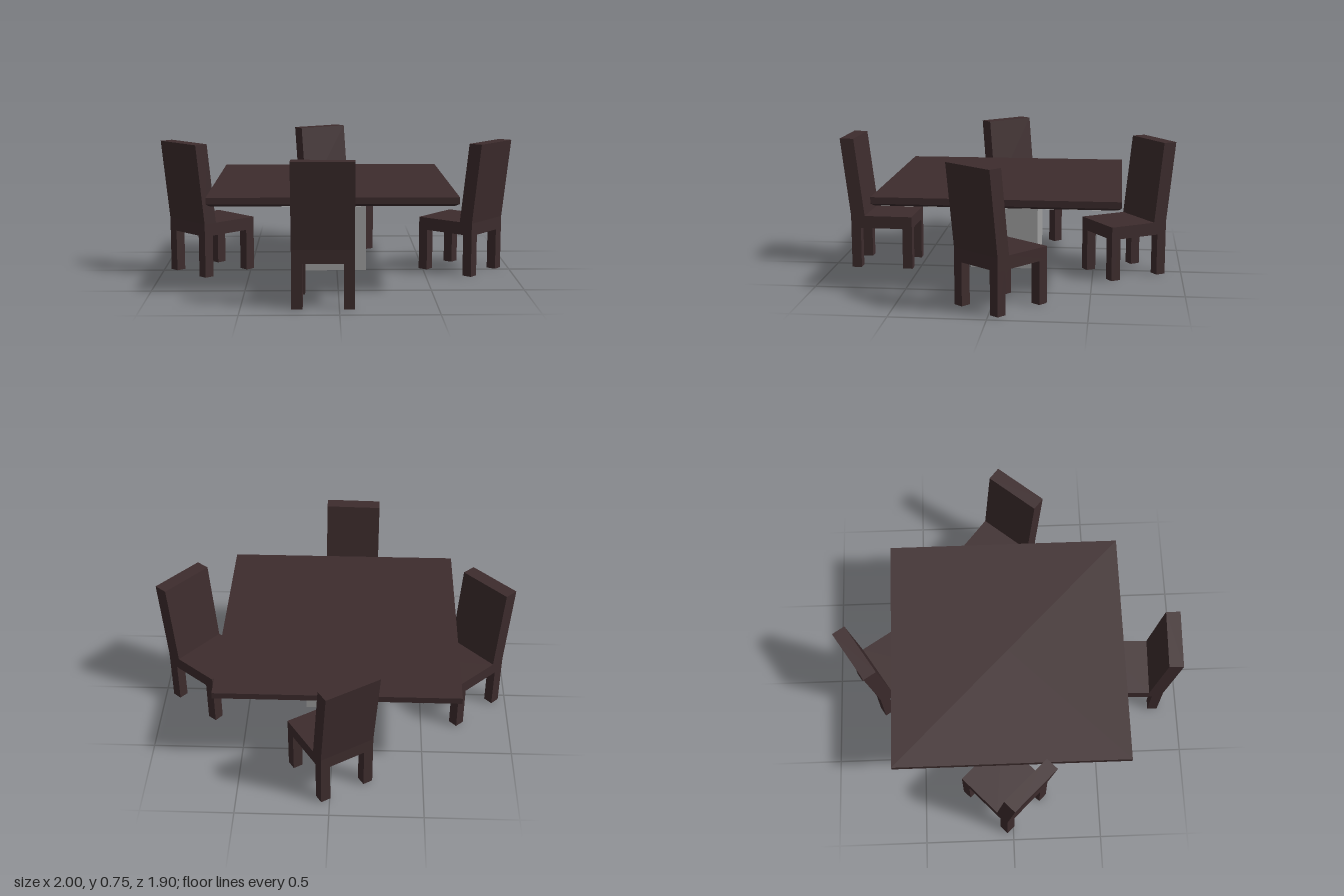
import * as THREE from 'three';

const wood = new THREE.MeshStandardMaterial({ name: 'darkWood', color: 0x3d2c2d });
const grey = new THREE.MeshStandardMaterial({ name: 'grey', color: 0xa0a0a0, side: THREE.DoubleSide });

const TABLE_X = -0.03;

function addMesh(parent, name, geometry, material, x = 0, y = 0, z = 0) {
  const mesh = new THREE.Mesh(geometry, material);
  mesh.name = name;
  mesh.position.set(x, y, z);
  parent.add(mesh);
  return mesh;
}

// Square block with flat faces whose top and bottom widths may differ
function squareFrustum(top, bottom, height) {
  const g = new THREE.CylinderGeometry(top * Math.SQRT1_2, bottom * Math.SQRT1_2, height, 4, 1)
    .rotateY(Math.PI / 4).toNonIndexed();
  g.computeVertexNormals();
  return g;
}

function createTable() {
  const table = new THREE.Group();
  table.name = 'table';
  addMesh(table, 'tableTop', squareFrustum(1.31, 1.31, 0.035), wood, 0, 0.5125, 0);
  addMesh(table, 'tableTopBevel', squareFrustum(1.31, 1.27, 0.013), wood, 0, 0.4885, 0);
  addMesh(table, 'tableUnderside', new THREE.PlaneGeometry(1.27, 1.27).rotateX(Math.PI / 2), grey, 0, 0.481, 0);

  // Hollow pedestal, open at the bottom: four walls
  for (let i = 0; i < 4; i++) {
    const wall = new THREE.PlaneGeometry(0.38, 0.441).translate(0, 0, 0.19).rotateY(i * Math.PI / 2);
    addMesh(table, 'pedestalWall', wall, grey, 0, 0.2605, 0);
  }
  table.position.x = TABLE_X;
  return table;
}

// Chair with its backrest toward local +z
function createChair() {
  const chair = new THREE.Group();
  const width = 0.32, front = -0.178, back = 0.178, leg = 0.056, seatBottom = 0.234;

  // Seat and raked backrest share one side profile
  const profile = new THREE.Shape([
    [front, seatBottom], [back, seatBottom], [back, 0.305], [0.232, 0.753],
    [0.153, 0.753], [0.098, 0.305], [front, 0.305],
  ].map(([z, y]) => new THREE.Vector2(z, y)));
  const body = new THREE.ExtrudeGeometry(profile, { depth: width, bevelEnabled: false })
    .translate(0, 0, -width / 2).rotateY(-Math.PI / 2);
  addMesh(chair, 'seatAndBackrest', body, wood);

  const legGeometry = new THREE.BoxGeometry(leg, seatBottom, leg);
  for (const sx of [-1, 1]) {
    for (const sz of [-1, 1]) {
      addMesh(chair, sz < 0 ? 'frontLeg' : 'backLeg', legGeometry, wood,
        sx * (width - leg) / 2, seatBottom / 2, sz * (back - leg / 2));
    }
  }
  return chair;
}

export function createModel() {
  const model = new THREE.Group();
  model.name = 'diningSet';
  model.add(createTable());

  // Chairs: name, x, z, turn
  const places = [
    ['frontChair', -0.077, 0.713, -0.03],
    ['backChair', 0.005, -0.671, -2.572],
    ['rightChair', -0.722, -0.042, -0.809],
    ['leftChair', 0.717, -0.041, 0.881],
  ];
  for (const [name, x, z, turn] of places) {
    const chair = createChair();
    chair.name = name;
    chair.position.set(x, 0, z);
    chair.rotation.y = turn;
    model.add(chair);
  }
  return model;
}
